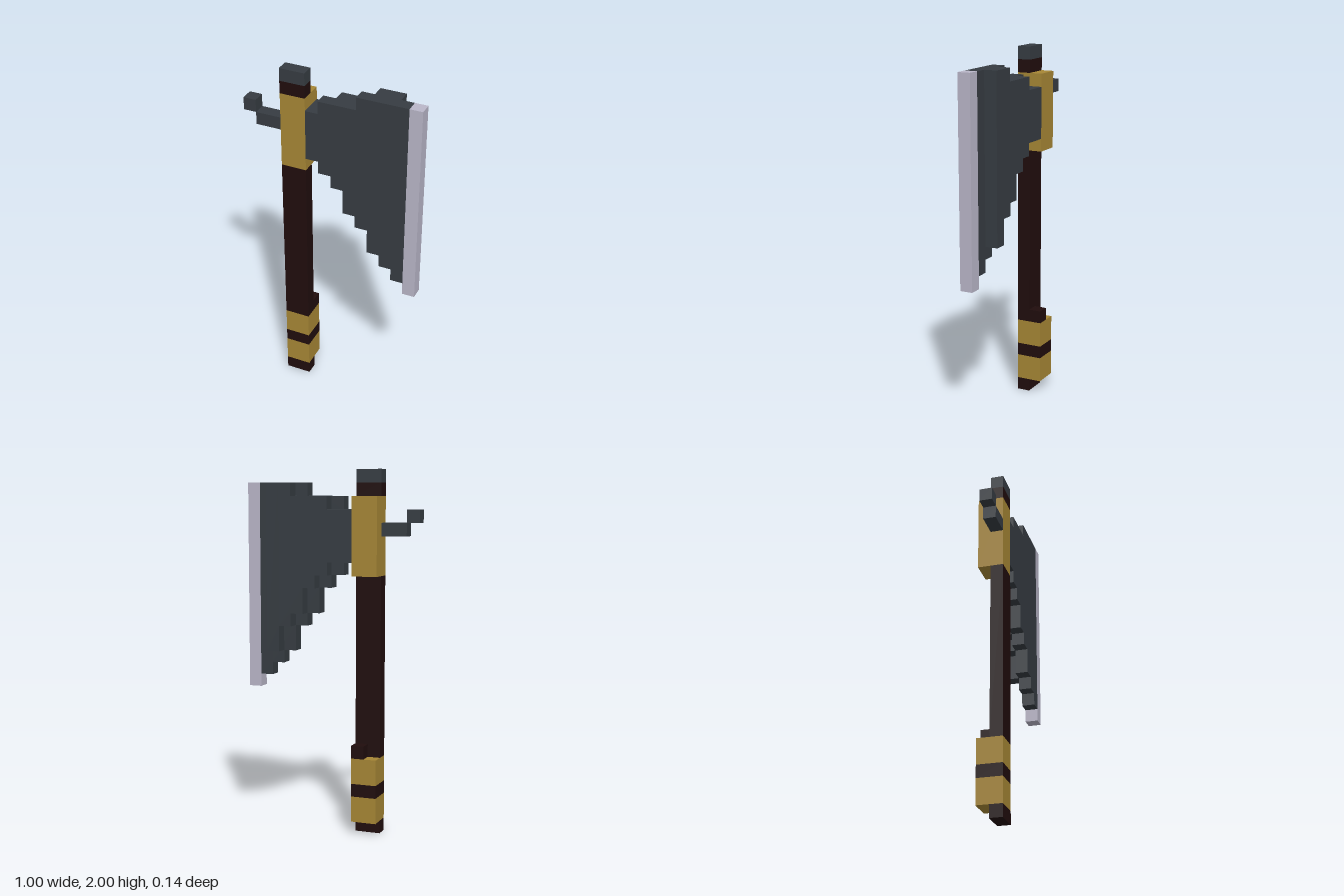
import * as THREE from 'three';

const U = 1 / 14; // one block

const material = (name, color) => {
  const m = new THREE.MeshStandardMaterial({ color });
  m.name = name;
  return m;
};

export function createModel() {
  const axe = new THREE.Group();
  axe.name = 'battleAxe';

  const wood = material('dark wood', 0x200d0d);
  const gold = material('gold', 0xa68635);
  const steel = material('dark steel', 0x363c42);
  const bright = material('bright steel', 0xb9b6c8);

  // Box given by its limits in blocks
  const block = (name, mat, x0, x1, y0, y1, z0, z1) => {
    const geo = new THREE.BoxGeometry((x1 - x0) * U, (y1 - y0) * U, (z1 - z0) * U);
    const mesh = new THREE.Mesh(geo, mat);
    mesh.name = name;
    mesh.position.set((x0 + x1) / 2 * U, (y0 + y1) / 2 * U, (z0 + z1) / 2 * U);
    axe.add(mesh);
  };

  // Stepped plate from [bottom, top] of each one-block column
  const steppedPlate = (name, x0, columns, z0) => {
    const points = [];
    columns.forEach(([bottom], i) => points.push([x0 + i, bottom], [x0 + i + 1, bottom]));
    for (let i = columns.length - 1; i >= 0; i--) {
      points.push([x0 + i + 1, columns[i][1]], [x0 + i, columns[i][1]]);
    }
    const outline = points
      .filter((p, i) => i === 0 || p[0] !== points[i - 1][0] || p[1] !== points[i - 1][1])
      .map(([x, y]) => new THREE.Vector2(x * U, y * U));
    const geo = new THREE.ExtrudeGeometry(new THREE.Shape(outline), { depth: U, bevelEnabled: false });
    const mesh = new THREE.Mesh(geo, steel);
    mesh.name = name;
    mesh.position.z = z0 * U;
    axe.add(mesh);
  };

  // Shaft: stacked bands, bottom to top; zBack -1 marks the thick ones
  const bands = [
    ['pommel', wood, 0, 1, 0],
    ['lowerGripBand', gold, 1, 3, -1],
    ['gripGap', wood, 3, 4, -1],
    ['upperGripBand', gold, 4, 6, -1],
    ['shaft', wood, 6, 20, 0],
    ['headCollar', gold, 20, 26, -1],
    ['shaftTop', wood, 26, 27, 0],
    ['shaftCap', steel, 27, 28, 0],
  ];
  for (const [name, mat, y0, y1, zBack] of bands) block(name, mat, -4, -2, y0, y1, zBack, 1);
  block('gripNub', wood, -3, -2, 6, 7, -1, 0);

  // Rear spike
  block('spikeBase', steel, -6, -4, 23, 24, 0, 1);
  block('spikeTip', steel, -7, -6, 24, 25, 0, 1);

  // Blade: front layer, shorter back layer and cutting edge
  steppedPlate('bladeFront', -2,
    [[21, 25], [20, 26], [19, 26], [17, 26], [16, 27], [14, 27], [13, 27], [12, 27]], 0);
  steppedPlate('bladeBack', -2,
    [[21, 25], [21, 25], [20, 26], [19, 26], [17, 26], [16, 27], [14, 27]], -1);
  block('cuttingEdge', bright, 6, 7, 11, 27, 0, 1);

  return axe;
}
